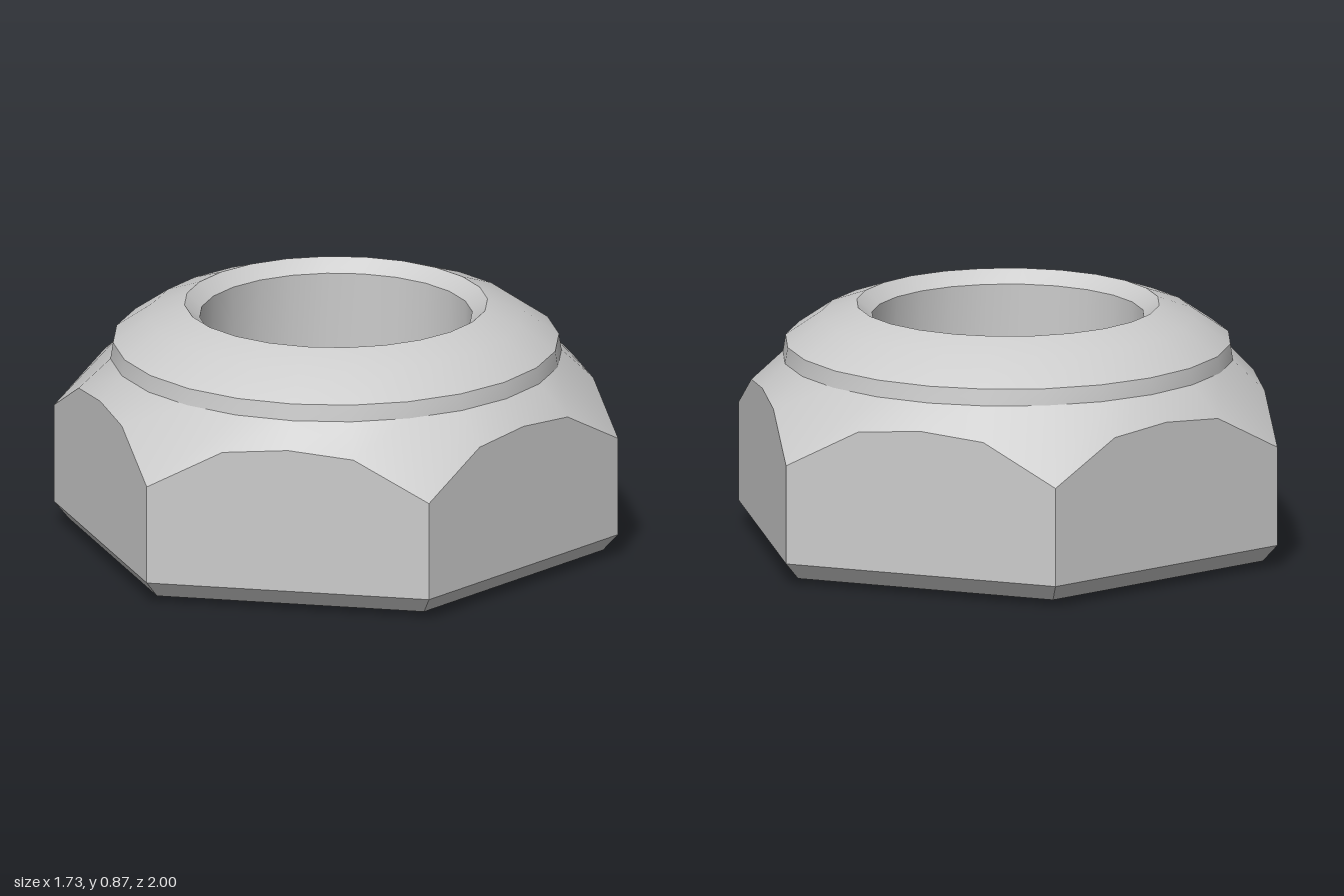
import * as THREE from 'three';
import { toCreasedNormals } from 'three/addons/utils/BufferGeometryUtils.js';

const SEGMENTS = 24;
const APOTHEM = Math.sqrt(3) / 2;

// Radius of a unit hexagon (corners on the z axis) at step j around it
function hexRadius(j) {
  const a = (j / SEGMENTS) * Math.PI * 2;
  const fromFlat = (a % (Math.PI / 3)) - Math.PI / 6;
  return APOTHEM / Math.cos(fromFlat);
}

const circle = (r, y) => () => [r, y];
const hexagon = (scale, y) => (j) => [scale * hexRadius(j), y];

// Skin a list of rings; each ring gives [radius, height] at step j
function loft(rings) {
  const positions = [];
  const index = [];
  for (const ring of rings) {
    for (let j = 0; j < SEGMENTS; j++) {
      const a = (j / SEGMENTS) * Math.PI * 2;
      const [r, y] = ring(j);
      positions.push(r * Math.sin(a), y, r * Math.cos(a));
    }
  }
  for (let i = 0; i < rings.length - 1; i++) {
    for (let j = 0; j < SEGMENTS; j++) {
      const k = (j + 1) % SEGMENTS;
      const a = i * SEGMENTS + j, b = i * SEGMENTS + k;
      const c = b + SEGMENTS, d = a + SEGMENTS;
      index.push(a, b, c, a, c, d);
    }
  }
  const geometry = new THREE.BufferGeometry();
  geometry.setAttribute('position', new THREE.Float32BufferAttribute(positions, 3));
  geometry.setIndex(index);
  return toCreasedNormals(geometry, 0.45);
}

export function createModel() {
  const group = new THREE.Group();
  group.name = 'lockNut';
  const material = new THREE.MeshStandardMaterial({ color: 0xcccccc });
  const add = (name, rings) => {
    const mesh = new THREE.Mesh(loft(rings), material);
    mesh.name = name;
    group.add(mesh);
  };

  // Where the conical chamfer meets the flats: low at corners, high mid-flat
  const chamferEdge = (j) => {
    const r = hexRadius(j);
    const t = (r - APOTHEM) / (1 - APOTHEM);
    return [r, 0.593 - 0.07 * t - 0.093 * t * t];
  };

  const boreRadius = 0.475;

  // Underside, bottom bevel, six flats and the conical top chamfer
  add('hexBody', [
    circle(boreRadius, 0),
    hexagon(0.946, 0.02),
    hexagon(1, 0.08),
    chamferEdge,
    circle(0.786, 0.677),
  ]);

  // Narrow band and rounded dome
  add('collar', [
    circle(0.786, 0.677),
    circle(0.777, 0.735),
    circle(0.65, 0.823),
    circle(0.528, 0.867),
  ]);

  // Chamfered mouth and straight through hole
  add('bore', [
    circle(0.528, 0.867),
    circle(boreRadius, 0.822),
    circle(boreRadius, 0),
  ]);

  return group;
}
